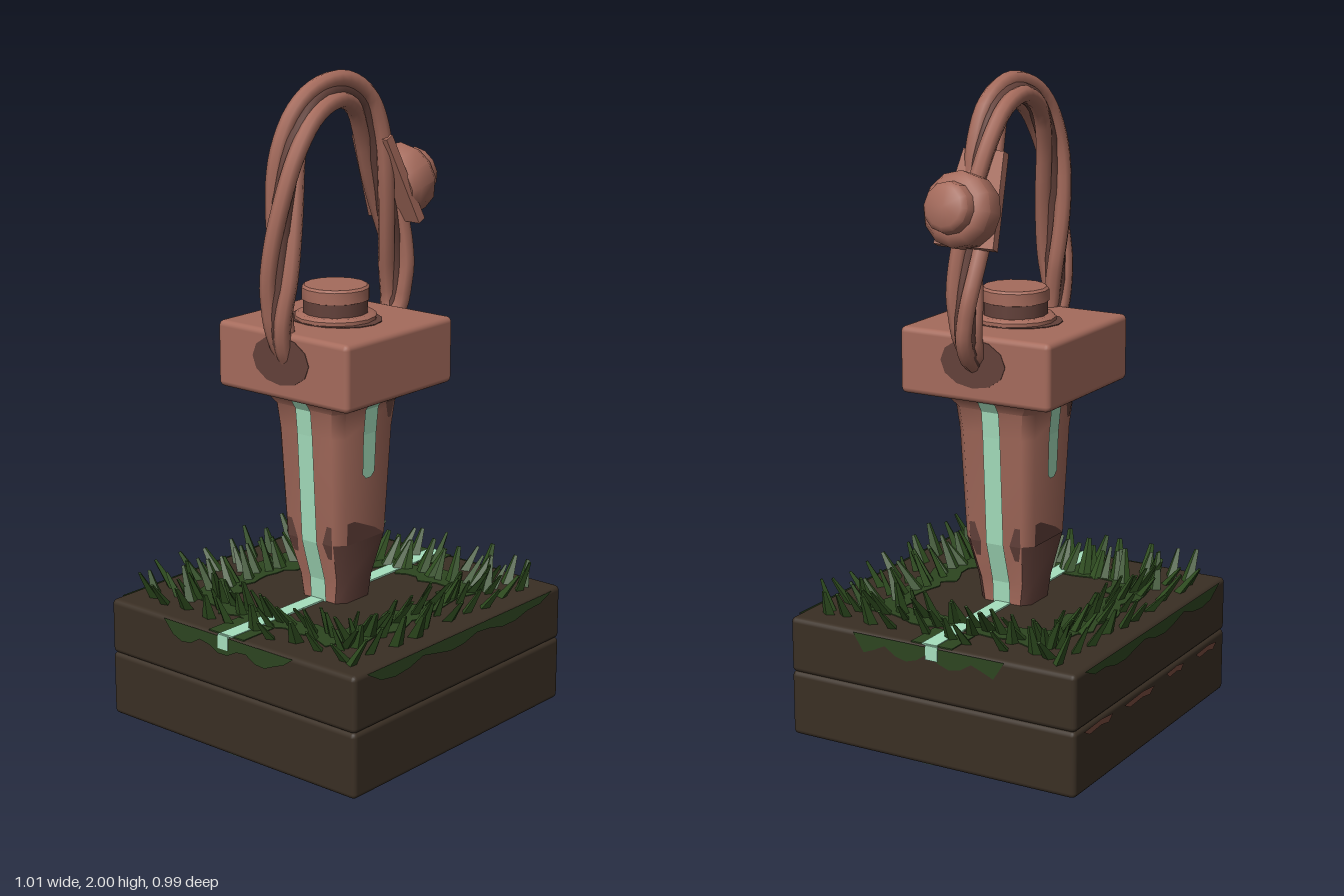
import * as THREE from 'three';
import { mergeGeometries, toCreasedNormals } from 'three/addons/utils/BufferGeometryUtils.js';
import { RoundedBoxGeometry } from 'three/addons/geometries/RoundedBoxGeometry.js';

const mat = (name, color, side = THREE.FrontSide) => {
  const m = new THREE.MeshStandardMaterial({ color, side });
  m.name = name;
  return m;
};

function seeded(seed) {
  let s = seed;
  return () => ((s = (s * 16807) % 2147483647) / 2147483647);
}

// Post sections: height, half width in x, half width in z, corner chamfer
const CX = -0.01;
const SECTIONS = [
  [0.36, 0.075, 0.085, 0.025], [0.45, 0.08, 0.097, 0.025], [0.58, 0.118, 0.118, 0.028],
  [0.92, 0.137, 0.13, 0.03], [1.0, 0.145, 0.138, 0.03], [1.03, 0.165, 0.16, 0.03], [1.052, 0.205, 0.2, 0.035],
];

function halfWidth(y, axis) {
  let i = 0;
  while (i < SECTIONS.length - 2 && y > SECTIONS[i + 1][0]) i++;
  const a = SECTIONS[i], b = SECTIONS[i + 1];
  return a[axis] + (b[axis] - a[axis]) * (y - a[0]) / (b[0] - a[0]);
}

function quadsGeometry(quads) {
  const pos = [];
  for (const [a, b, c, d] of quads) pos.push(...a, ...b, ...c, ...a, ...c, ...d);
  const g = new THREE.BufferGeometry();
  g.setAttribute('position', new THREE.Float32BufferAttribute(pos, 3));
  g.computeVertexNormals();
  return g;
}

// Thin strip that follows one face of the post; rows are [y, left, right]
function postStrip(face, rows, off = 0.005) {
  const quads = [], axis = face % 2 ? 1 : 2;
  const at = (u, y) => [u, y - off * 0.5, halfWidth(y, axis) + off];
  for (let i = 0; i < rows.length - 1; i++) {
    const [y0, l0, r0] = rows[i], [y1, l1, r1] = rows[i + 1];
    quads.push([at(l0, y0), at(r0, y0), at(r1, y1), at(l1, y1)]);
  }
  return quadsGeometry(quads).rotateY(face * Math.PI / 2).translate(CX, 0, 0);
}

export function createModel() {
  const model = new THREE.Group();
  model.name = 'postWithCableHandle';
  const rust = mat('rust', 0xa56b5c);
  const darkRust = mat('darkRust', 0x63413a, THREE.DoubleSide);
  const mint = mat('mint', 0xa6e0be, THREE.DoubleSide);
  const soil = mat('soil', 0x3a2f24);
  const moss = mat('moss', 0x2d4520, THREE.DoubleSide);
  const grass = mat('grass', 0x2e4c1f);
  const worn = mat('wornEarth', 0x74483c);

  const add = (name, geo, material, x = 0, y = 0, z = 0) => {
    const m = new THREE.Mesh(geo, material);
    m.name = name;
    m.position.set(x, y, z);
    model.add(m);
    return m;
  };

  // Two stacked soil slabs
  add('lowerSlab', new RoundedBoxGeometry(1, 0.205, 0.98, 2, 0.016), soil, 0, 0.1025, 0);
  add('upperSlab', new RoundedBoxGeometry(1, 0.175, 0.98, 2, 0.016), soil, 0, 0.2895, 0);
  add('slabSeam', new THREE.BoxGeometry(0.975, 0.04, 0.955), soil, 0, 0.205, 0);

  // Ragged moss ring on the ground
  const rand = seeded(77);
  const ragged = (r, wobble) => {
    const pts = [];
    for (let i = 0; i < 48; i++) {
      const a = i / 48 * Math.PI * 2, c = Math.cos(a), s = Math.sin(a);
      const k = (r + (rand() - 0.5) * wobble) / Math.pow(c ** 6 + s ** 6, 1 / 6);
      pts.push(new THREE.Vector2(c * k, s * k * 0.95));
    }
    return pts;
  };
  const ring = new THREE.Shape(ragged(0.362, 0.05));
  ring.holes.push(new THREE.Path(ragged(0.26, 0.05)));
  add('mossRing', new THREE.ExtrudeGeometry(ring, { depth: 0.004, bevelEnabled: false }).rotateX(-Math.PI / 2), moss, 0, 0.376, 0);
  for (const s of [-1, 1]) add('mossTongue', new THREE.BoxGeometry(0.13, 0.004, 0.14), moss, s * 0.43, 0.378, -0.01);

  // Moss hanging over the slab edges
  for (let f = 0; f < 4; f++) {
    const wide = f % 2, half = wide ? 0.26 : 0.45, drop = wide ? 0.058 : 0.045;
    const shape = new THREE.Shape();
    shape.moveTo(-half, 0);
    for (let i = 1; i < 14; i++) shape.lineTo(-half + i / 14 * half * 2, -drop * (0.35 + 0.65 * Math.abs(Math.sin(i * 0.75 + f))));
    shape.lineTo(half, 0);
    const g = new THREE.ShapeGeometry(shape).translate(0, 0.373, wide ? 0.503 : 0.493).rotateY(f * Math.PI / 2);
    add('mossDrape', g, moss);
  }

  // Glowing line across the ground, over the edge and below
  for (const s of [-1, 1]) {
    add('groundLine', new THREE.BoxGeometry(0.43, 0.005, 0.05), mint, s * 0.285, 0.38, -0.005);
    add('edgeDrip', new THREE.BoxGeometry(0.008, 0.045, 0.04), mint, s * 0.5015, 0.357, -0.015);
  }
  add('undersideLine', new THREE.BoxGeometry(0.98, 0.004, 0.038), mint, 0, 0.0015, 0.01);

  // Worn marks along the back seam
  for (const [x, y, w] of [[0.36, 0.182, 0.18], [0.1, 0.176, 0.2], [-0.14, 0.181, 0.12], [-0.36, 0.175, 0.15]]) {
    const shape = new THREE.Shape([[-0.5, 0.008], [-0.3, -0.01], [0.1, -0.006], [0.35, -0.014], [0.5, 0.004], [0.1, 0.012]]
      .map(([u, v]) => new THREE.Vector2(u * w, v)));
    add('wornMark', new THREE.ShapeGeometry(shape).rotateY(Math.PI), worn, x, y, -0.4925);
  }

  // Grass: dense inner border and sparse outer border, all leaning outwards
  const blades = [];
  const blade = (x, z, h, r, lean, dir) => {
    const g = new THREE.CylinderGeometry(0.3 * r, r, h, 4).toNonIndexed();
    g.scale(1, 1, 0.6).translate(0, h / 2, 0).rotateY(rand() * 0.8 - 0.4).rotateX(lean).rotateY(dir + (rand() - 0.5) * 0.8);
    blades.push(g.translate(x, 0.365, z));
  };
  for (let f = 0; f < 4; f++) {
    const dir = f * Math.PI / 2, c = Math.cos(dir), s = Math.sin(dir);
    const plant = (u, d, h, r) => blade(u * c + d * s, -u * s + d * c, h, r, 0.3 + rand() * 0.45, dir);
    for (let i = 0; i < 17; i++) plant(-0.34 + i * 0.0425 + (rand() - 0.5) * 0.03, 0.275 + rand() * 0.04, 0.1 + rand() * 0.03, 0.024);
    for (let i = 0; i < 6; i++) plant(-0.33 + i * 0.13 + (rand() - 0.5) * 0.05, 0.325 + rand() * 0.03, 0.095, 0.022);
    for (let i = 0; i < 10; i++) plant(-0.42 + i * 0.088 + (rand() - 0.5) * 0.04, 0.39 + rand() * 0.03, 0.09 + rand() * 0.03, 0.025);
  }
  const grassGeo = mergeGeometries(blades);
  grassGeo.computeVertexNormals();
  add('grassBlades', grassGeo, grass);

  // Tapered chamfered post, stained at its foot on the front and back
  const clean = [], stained = [];
  const loop = ([y, a, b, c]) => [[a, c - b], [a, b - c], [a - c, b], [c - a, b], [-a, b - c], [-a, c - b], [c - a, -b], [a - c, -b]]
    .map(([x, w]) => [x + CX, y, -w]);
  for (let s = 0; s < SECTIONS.length - 1; s++) {
    const lo = loop(SECTIONS[s]), hi = loop(SECTIONS[s + 1]);
    for (let i = 0; i < 8; i++) {
      const j = (i + 1) % 8;
      const dark = s < 2 && i !== 0 && i !== 4;
      (dark ? stained : clean).push([lo[i], lo[j], hi[j], hi[i]]);
    }
  }
  add('post', toCreasedNormals(quadsGeometry(clean), 0.9), rust);
  add('postFoot', toCreasedNormals(quadsGeometry(stained), 0.9), darkRust);
  for (const f of [0, 2]) {
    add('footStain', postStrip(f, [[0.58, -0.088, 0.088], [0.61, -0.088, 0.04], [0.65, -0.088, -0.055]], 0.002), darkRust);
    add('topStain', postStrip(f, [[0.95, 0.085, 0.098], [1, 0.07, 0.108], [1.03, 0.05, 0.125]], 0.002), darkRust);
    add('postShortLine', postStrip(f, [[0.78, -0.012, 0.012], [0.795, -0.028, 0.028], [0.92, -0.03, 0.03], [1, -0.03, 0.03], [1.03, -0.03, 0.03], [1.052, -0.03, 0.03]]), mint);
  }
  for (const f of [1, 3]) {
    add('postLongLine', postStrip(f, [0.37, 0.45, 0.58, 0.92, 1, 1.03, 1.052].map((y) => [y, -0.03, 0.03])), mint);
    for (const s of [-1, 1]) {
      const rows = [[0.53, 0.06, 0.075], [0.58, 0.05, 0.088], [0.64, 0.07, 0.088]].map(([y, a, b]) => [y, Math.min(s * a, s * b), Math.max(s * a, s * b)]);
      add('sideStain', postStrip(f, rows, 0.002), darkRust);
    }
  }

  // Cap block with a stepped round button
  add('capBlock', new RoundedBoxGeometry(0.495, 0.205, 0.51, 2, 0.018), rust, CX, 1.1505, 0);
  add('buttonStain', new THREE.CylinderGeometry(0.15, 0.15, 0.004, 16).scale(0.85, 1, 1), darkRust, CX, 1.2535, 0);
  const lathe = (pts, n) => toCreasedNormals(new THREE.LatheGeometry(pts.map(([r, y]) => new THREE.Vector2(r, y)), n), 0.75);
  add('buttonBase', lathe([[0.125, 0], [0.125, 0.016], [0.115, 0.024], [0, 0.024]], 14), rust, CX, 1.25, 0);
  add('buttonNeck', new THREE.CylinderGeometry(0.099, 0.099, 0.045, 14, 1, true), darkRust, CX, 1.292, 0);
  add('button', lathe([[0.09, 0], [0.103, 0.004], [0.103, 0.04], [0.096, 0.047], [0, 0.047]], 14), rust, CX, 1.31, 0);

  // Stains where the cables enter the block
  for (const [x, s] of [[-0.2575, -1], [0.2375, 1]])
    add('cableStain', new THREE.CylinderGeometry(0.11, 0.11, 0.004, 12).scale(0.68, 1, 1).rotateZ(s * Math.PI / 2), darkRust, x, 1.168, 0);

  // Handle: three cables twisted around a dark core along one arch
  const arch = new THREE.CatmullRomCurve3([
    [-0.22, 1.16], [-0.255, 1.24], [-0.26, 1.4], [-0.246, 1.6], [-0.205, 1.78], [-0.13, 1.893], [-0.01, 1.938],
    [0.09, 1.9], [0.15, 1.81], [0.2, 1.66], [0.25, 1.48], [0.276, 1.34], [0.266, 1.22], [0.2, 1.16],
  ].map(([x, y]) => new THREE.Vector3(x, y, 0)));
  add('cableCore', new THREE.TubeGeometry(arch, 48, 0.033, 8), darkRust);
  for (let k = 0; k < 3; k++) {
    const pts = [];
    for (let i = 0; i <= 30; i++) {
      const t = i / 30, p = arch.getPointAt(t), d = arch.getTangentAt(t);
      const a = k * Math.PI * 2 / 3 + t * Math.PI * 2.6 + 0.5;
      const r = 0.036 * Math.min(1, 0.3 + 5 * Math.min(t, 1 - t));
      pts.push(new THREE.Vector3(p.x - d.y * r * Math.cos(a), p.y + d.x * r * Math.cos(a), p.z + r * Math.sin(a)));
    }
    add('handleCable', new THREE.TubeGeometry(new THREE.CatmullRomCurve3(pts), 60, 0.026, 8), rust);
  }

  // Round knob on a tapered plate, leaning out from the handle
  const knob = new THREE.Group();
  knob.name = 'sideKnob';
  knob.position.set(0.235, 1.615, 0);
  knob.rotation.z = -Math.PI / 2 + 0.25;
  const body = new THREE.Mesh(lathe([[0, 0], [0.095, 0], [0.11, 0.025], [0.112, 0.09], [0.092, 0.118], [0.077, 0.122], [0.073, 0.152], [0.058, 0.165], [0, 0.168]], 12), rust);
  body.name = 'knobBody';
  knob.add(body);
  model.add(knob);
  const plateShape = new THREE.Shape([[-0.1, -0.14], [0.1, -0.14], [0.068, 0.15], [-0.068, 0.15]].map(([x, y]) => new THREE.Vector2(-x, y)).reverse());
  const plate = add('knobPlate', new THREE.ExtrudeGeometry(plateShape, { depth: 0.03, bevelEnabled: false }).rotateY(Math.PI / 2), rust, 0.205, 1.64, 0);
  plate.rotation.z = 0.42;

  return model;
}
